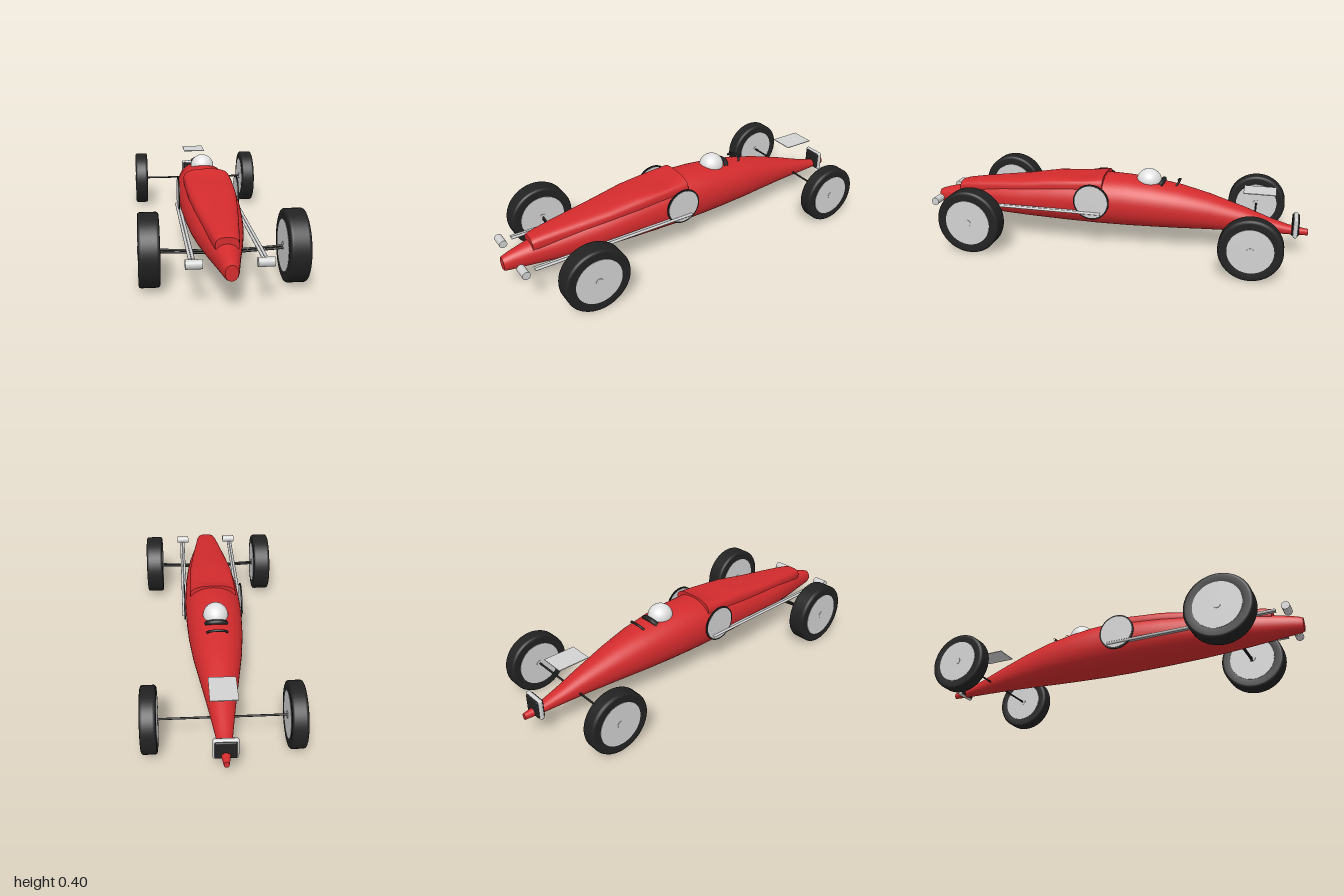
import * as THREE from 'three';
import { RoundedBoxGeometry } from 'three/addons/geometries/RoundedBoxGeometry.js';

const paint = (name, color) => Object.assign(new THREE.MeshStandardMaterial({ color }), { name });

export function createModel() {
  const red = paint('red bodywork', 0xd32b2d);
  const black = paint('black rubber', 0x222222);
  const grey = paint('light grey metal', 0xd2d2d2);
  const white = paint('white helmet', 0xe2e2e2);
  const car = new THREE.Group();
  car.name = 'streamlinedRacer';

  function add(name, geometry, material, x = 0, y = 0, z = 0, parent = car) {
    const mesh = new THREE.Mesh(geometry, material);
    mesh.name = name;
    mesh.position.set(x, y, z);
    parent.add(mesh);
    return mesh;
  }
  const rod = (name, a, b, r, material) => add(name,
    new THREE.TubeGeometry(new THREE.LineCurve3(new THREE.Vector3(...a), new THREE.Vector3(...b)), 1, r, 10), material);
  // Cylinder lying along x
  const across = (r, w, n = 40) => new THREE.CylinderGeometry(r, r, w, n).rotateZ(Math.PI / 2);

  // Shallow hollow ahead of the cockpit lip
  function hollow(x, y, z) {
    if (y < 0.25) return 0;
    const along = THREE.MathUtils.smoothstep(z, 0.045, 0.13) * (1 - THREE.MathUtils.smoothstep(z, 0.14, 0.32));
    return 0.022 * along * Math.max(0, 1 - (x / 0.11) ** 2);
  }

  // Loft of superellipses; stations run rear to front as [z, halfWidth, top, bottom]
  function loft(stations, power, n = 48) {
    const pos = [], index = [];
    const ring = ([z, w, top, bottom]) => {
      for (let j = 0; j < n; j++) {
        const a = (j / n) * Math.PI * 2, c = Math.cos(a), s = Math.sin(a);
        const x = w * Math.sign(c) * Math.abs(c) ** (2 / power);
        const y = (top + bottom) / 2 + (top - bottom) / 2 * Math.sign(s) * Math.abs(s) ** (2 / power);
        pos.push(x, y - hollow(x, y, z), z);
      }
    };
    stations.forEach(ring);
    for (let i = 0; i < stations.length - 1; i++) {
      for (let j = 0; j < n; j++) {
        const a = i * n + j, b = i * n + (j + 1) % n;
        index.push(a, b, a + n, b, b + n, a + n);
      }
    }
    // Separate end rings keep the cap edges sharp
    [stations[0], stations[stations.length - 1]].forEach((s, end) => {
      const first = pos.length / 3;
      ring(s);
      for (let j = 1; j < n - 1; j++) {
        if (end) index.push(first, first + j, first + j + 1);
        else index.push(first, first + j + 1, first + j);
      }
    });
    const g = new THREE.BufferGeometry();
    g.setAttribute('position', new THREE.Float32BufferAttribute(pos, 3));
    g.setIndex(index);
    g.computeVertexNormals();
    return g;
  }

  // Cigar-shaped body
  add('body', loft([
    [-1, 0.012, 0.145, 0.112], [-0.9, 0.03, 0.16, 0.112], [-0.8, 0.045, 0.19, 0.112],
    [-0.68, 0.064, 0.233, 0.111], [-0.5, 0.095, 0.289, 0.107], [-0.35, 0.12, 0.325, 0.102],
    [-0.2, 0.136, 0.348, 0.098], [-0.08, 0.143, 0.36, 0.095], [0.04, 0.146, 0.364, 0.094],
    [0.09, 0.146, 0.362, 0.094], [0.14, 0.145, 0.357, 0.095], [0.22, 0.143, 0.349, 0.096],
    [0.32, 0.138, 0.338, 0.098], [0.48, 0.125, 0.31, 0.102], [0.6, 0.11, 0.292, 0.106],
    [0.74, 0.084, 0.266, 0.112], [0.86, 0.058, 0.24, 0.119], [0.95, 0.04, 0.218, 0.125],
    [0.985, 0.033, 0.207, 0.128], [1, 0.027, 0.2, 0.133],
  ], 2.15), red);

  // Raised bonnet ending in the cockpit lip
  add('bonnet', loft([
    [0.04, 0.12, 0.374, 0.26], [0.05, 0.12, 0.373, 0.26], [0.09, 0.12, 0.371, 0.26],
    [0.14, 0.12, 0.367, 0.26], [0.22, 0.118, 0.36, 0.255], [0.32, 0.115, 0.349, 0.25],
    [0.48, 0.1, 0.322, 0.235], [0.6, 0.086, 0.308, 0.22], [0.74, 0.068, 0.291, 0.205],
    [0.83, 0.056, 0.277, 0.2], [0.86, 0.05, 0.268, 0.2],
  ], 2.8), red);

  // Driver's helmet, headrest and hoop
  const helmet = add('helmet', new THREE.SphereGeometry(0.062, 32, 20), white, 0, 0.342, -0.185);
  helmet.scale.z = 1.05;
  const arch = (name, r, z, top) => add(name, new THREE.TubeGeometry(new THREE.CatmullRomCurve3([
    new THREE.Vector3(-0.05, top - 0.018, z + 0.014), new THREE.Vector3(-0.03, top - 0.004, z + 0.003),
    new THREE.Vector3(0, top, z), new THREE.Vector3(0.03, top - 0.004, z + 0.003),
    new THREE.Vector3(0.05, top - 0.018, z + 0.014),
  ]), 24, r, 8), black);
  arch('headrest', 0.012, -0.262, 0.35);
  arch('rollHoop', 0.006, -0.345, 0.355);

  // Tyre, rim discs and hub caps
  function wheel(name, x, z, r, w) {
    const g = new THREE.Group();
    g.name = name;
    g.position.set(x, r, z);
    car.add(g);
    const h = w / 2, rim = r * 0.7, b = 0.01;
    const profile = [
      [rim, -h + 0.004], [rim + 0.003, -h], [r - b - 0.004, -h], [r - b, -h], [r - b * 0.3, -h + b * 0.3],
      [r, -h + b], [r, -h + b + 0.004], [r, h - b - 0.004], [r, h - b], [r - b * 0.3, h - b * 0.3],
      [r - b, h], [r - b - 0.004, h], [rim + 0.003, h], [rim, h - 0.004],
    ].map(([px, py]) => new THREE.Vector2(px, py));
    add('tyre', new THREE.LatheGeometry(profile, 56).rotateZ(Math.PI / 2), black, 0, 0, 0, g);
    add('rimDisc', across(rim + 0.002, w + 0.002, 56), grey, 0, 0, 0, g);
    add('hubCap', across(0.018, w + 0.006, 24), grey, 0, 0, 0, g);
  }

  for (const s of [1, -1]) {
    const side = s > 0 ? 'left' : 'right';
    wheel(side + 'FrontWheel', s * 0.319, 0.68, 0.164, 0.092);
    wheel(side + 'RearWheel', s * 0.328, -0.73, 0.153, 0.072);

    // Front suspension arms
    for (const dy of [0, 0.011]) {
      rod(side + 'FrontArm', [s * 0.06, 0.14 + dy, 0.68], [s * 0.28, 0.152 + dy, 0.68], 0.005, black);
    }

    // Side roundel: black rim with pale plates on both faces
    add(side + 'RoundelRim', across(0.094, 0.006, 56), black, s * 0.15, 0.25, 0.09);
    add(side + 'RoundelPlate', across(0.086, 0.008, 56), grey, s * 0.15, 0.25, 0.09);

    // Twin side pipes with a crosswise end cylinder
    for (const dx of [0.143, 0.157]) {
      rod(side + 'SidePipe', [s * dx, 0.19, 0.04], [s * dx, 0.19, 0.9], 0.007, grey);
    }
    add(side + 'EndCylinder', across(0.02, 0.07, 28), grey, s * 0.146, 0.191, 0.95);
  }
  rod('rearAxle', [-0.31, 0.153, -0.73], [0.31, 0.153, -0.73], 0.005, black);

  // Flat rear wing panel
  add('rearPanel', new THREE.BoxGeometry(0.124, 0.004, 0.16), grey, 0, 0.33, -0.75);

  // Tail board with pale frame and dark faces
  add('tailFrame', new RoundedBoxGeometry(0.114, 0.106, 0.022, 3, 0.01), grey, 0, 0.162, -0.937);
  add('tailFaces', new RoundedBoxGeometry(0.096, 0.09, 0.036, 3, 0.007), black, 0, 0.162, -0.937);

  return car;
}
